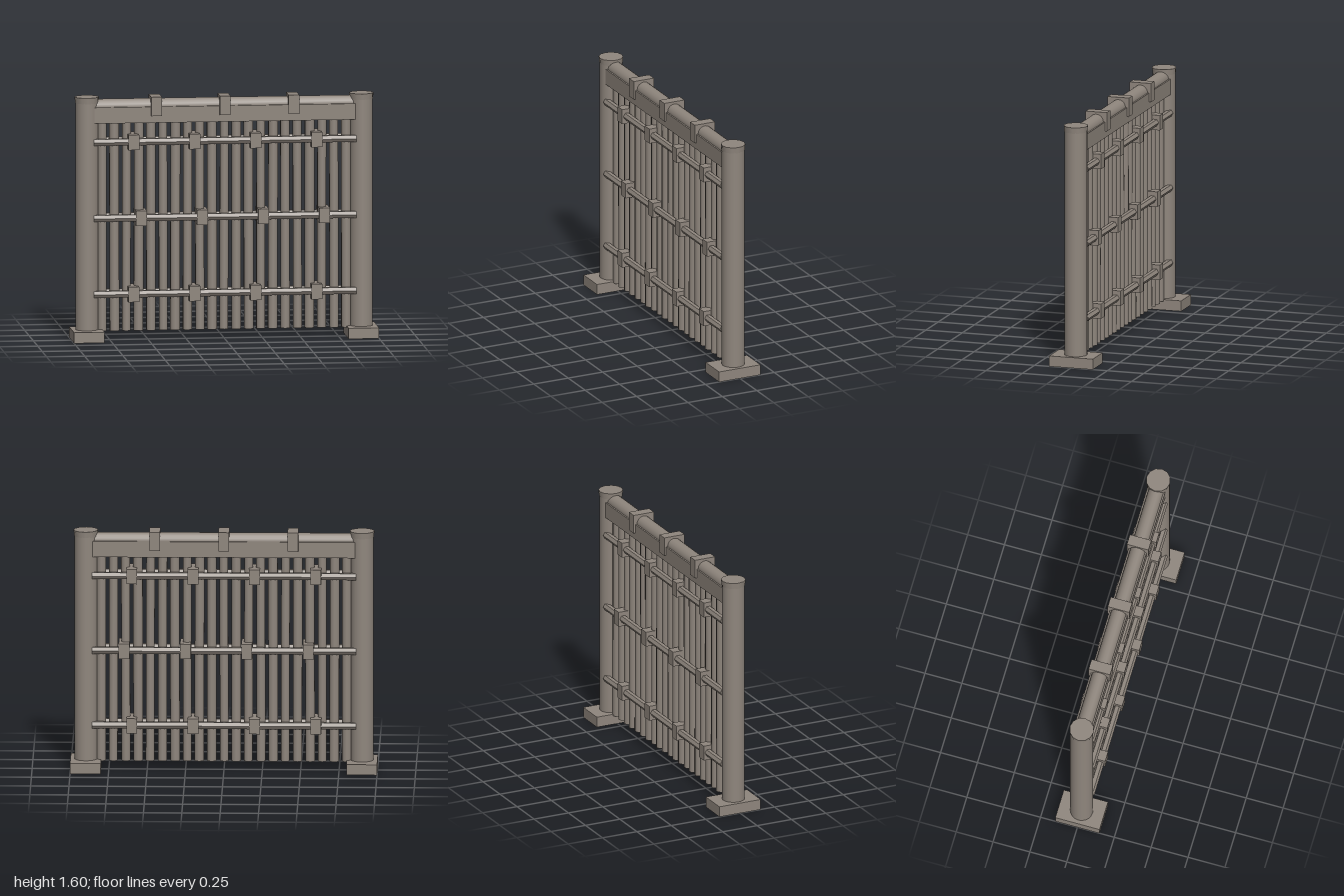
import * as THREE from 'three';

export function createModel() {
  const model = new THREE.Group();
  model.name = 'bambooFence';
  const wood = new THREE.MeshStandardMaterial({ color: 0x8f867d, side: THREE.DoubleSide });
  wood.name = 'weathered wood';

  function add(name, geometry, x, y, z) {
    const mesh = new THREE.Mesh(geometry, wood);
    mesh.name = name;
    mesh.position.set(x, y, z);
    model.add(mesh);
    return mesh;
  }

  // Faceted pole lying along x, with one corner pointing along z
  function lyingPole(radius, length, sides) {
    return new THREE.CylinderGeometry(radius, radius, length, sides).rotateZ(Math.PI / 2);
  }

  // Footing block without an underside
  function footing() {
    const g = new THREE.BoxGeometry(0.2, 0.07, 0.3);
    const index = Array.from(g.index.array);
    index.splice(18, 6);
    g.setIndex(index);
    g.clearGroups();
    return g;
  }

  // End posts: footing, hollow-bottomed shaft and flared cap
  for (const side of [-1, 1]) {
    const x = side * 0.9;
    add('postFooting', footing(), x, 0.035, 0);
    add('post', new THREE.CylinderGeometry(0.075, 0.075, 1.56, 20, 1, true), x, 0.79, 0);
    add('postCap', new THREE.CylinderGeometry(0.08, 0.077, 0.04, 12).toNonIndexed(), x, 1.58, 0);
  }

  // Upright canes with slight variation in thickness and lean
  const canes = 21;
  for (let i = 0; i < canes; i++) {
    const r = 0.031 + 0.002 * Math.sin(i * 2.3);
    const cane = add('cane', new THREE.CylinderGeometry(r, r, 1.4, 10), -0.8 + i * 0.08, 0.76, 0);
    cane.rotation.z = 0.003 * Math.sin(i * 1.7);
  }

  // Horizontal rails on both faces, with bindings around them
  const rail = lyingPole(0.025, 1.72, 6);
  const railFlat = rail.toNonIndexed();
  railFlat.computeVertexNormals();
  const binding = new THREE.BoxGeometry(0.07, 0.1, 0.166);
  [0.305, 0.805, 1.305].forEach((y, row) => {
    for (const z of [-0.05, 0.05]) add('rail', railFlat, 0, y, z);
    const shift = row === 1 ? 0.05 : 0;
    for (const x of [-0.6, -0.2, 0.2, 0.6]) add('binding', binding, x + shift, y, 0);
  });

  // Top beam, rounded ridge pole and straps
  add('topBeam', new THREE.BoxGeometry(1.74, 0.105, 0.12), 0, 1.4825, 0);
  add('ridgePole', lyingPole(0.05, 1.7, 16), 0, 1.535, 0);
  for (const x of [-0.45, 0, 0.45]) {
    add('ridgeStrap', new THREE.BoxGeometry(0.07, 0.125, 0.146), x, 1.5375, 0);
  }

  return model;
}
